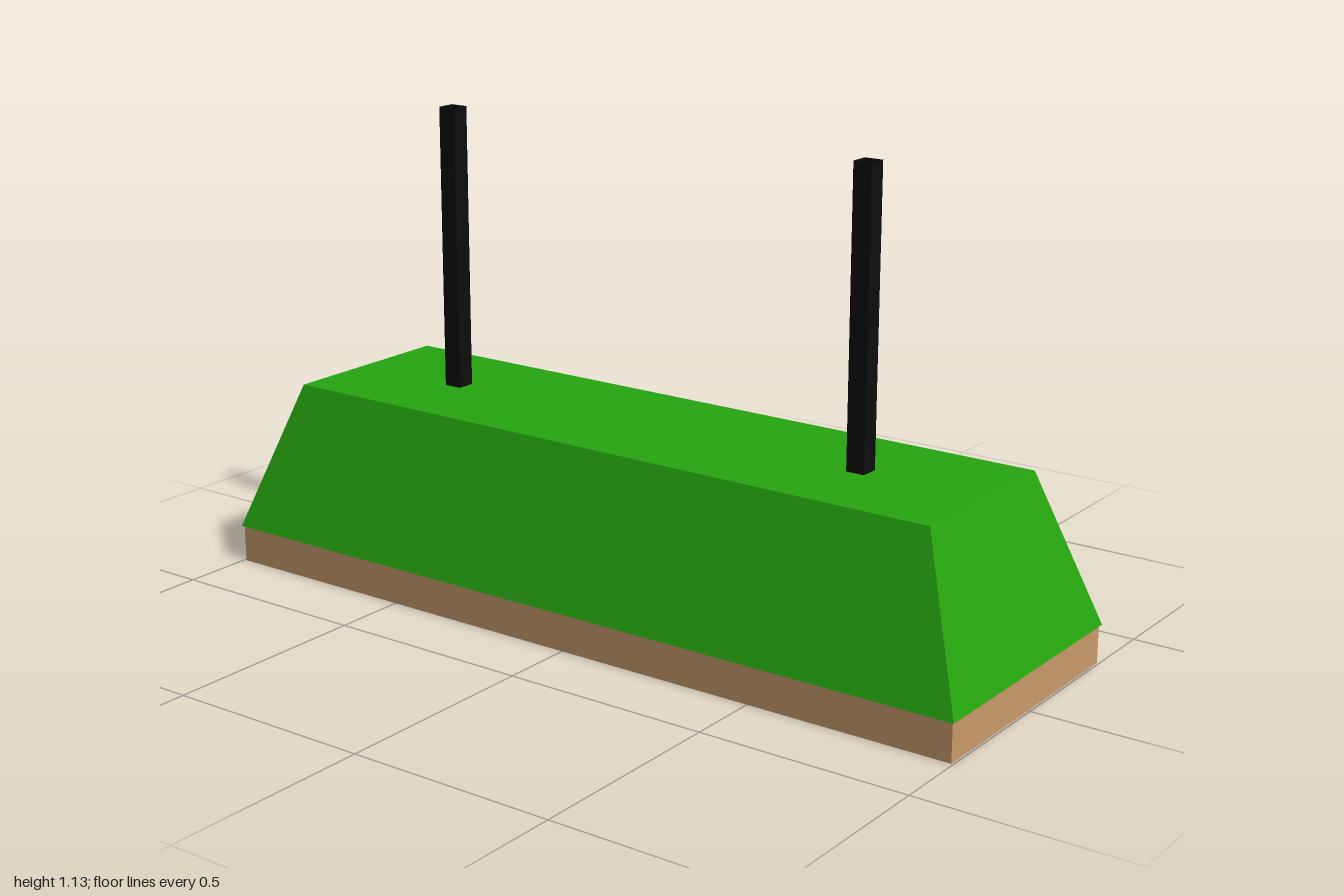
import * as THREE from 'three';

export function createModel() {
  const model = new THREE.Group();
  const hedgeGreen = new THREE.MeshStandardMaterial({ color: 0x26a610 });
  hedgeGreen.name = 'hedgeGreen';
  const woodTan = new THREE.MeshStandardMaterial({ color: 0xc99b6b });
  woodTan.name = 'woodTan';
  const postBlack = new THREE.MeshStandardMaterial({ color: 0x0d0d0d, side: THREE.DoubleSide });
  postBlack.name = 'postBlack';

  function add(name, geometry, material, x, y) {
    const mesh = new THREE.Mesh(geometry, material);
    mesh.name = name;
    mesh.position.set(x, y, 0);
    model.add(mesh);
    return mesh;
  }

  // Wooden base slab
  add('base', new THREE.BoxGeometry(1.99, 0.09, 0.65), woodTan, 0, 0.045);

  // Tapered body: a box with its top corners drawn inwards
  const body = new THREE.BoxGeometry(2, 0.36, 0.66);
  const p = body.attributes.position;
  for (let i = 0; i < p.count; i++) {
    if (p.getY(i) > 0) {
      p.setX(i, Math.sign(p.getX(i)) * 0.872);
      p.setZ(i, Math.sign(p.getZ(i)) * 0.225);
    }
  }
  body.computeVertexNormals();
  add('body', body, hedgeGreen, 0, 0.27);

  // Square posts, open at both ends
  const width = 0.045, height = 0.68;
  const post = new THREE.CylinderGeometry(width / Math.SQRT2, width / Math.SQRT2, height, 4, 1, true)
    .rotateY(Math.PI / 4)
    .toNonIndexed();
  post.computeVertexNormals();
  for (const side of [-1, 1]) {
    add(side > 0 ? 'leftPost' : 'rightPost', post, postBlack, side * 0.57, 0.45 + height / 2);
  }
  return model;
}
